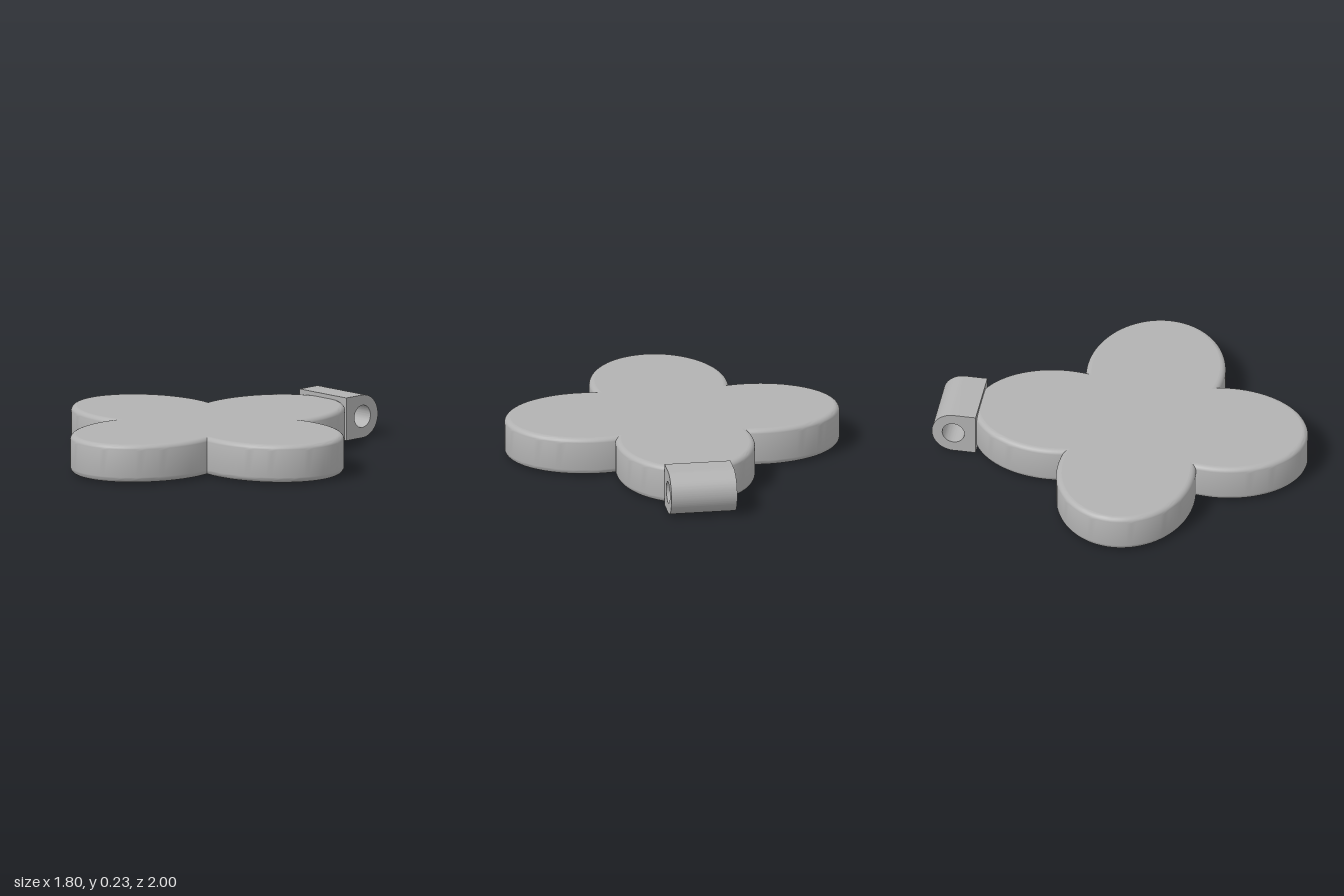
import * as THREE from 'three';
import { toCreasedNormals } from 'three/addons/utils/BufferGeometryUtils.js';

const C = 0.45, A = 0.45, B = 0.37;            // petal offset and half axes
const BOTTOM = 0.006, TOP = 0.21, FILLET = 0.03;
const CENTRE_Z = 0.1, STEPS = 48;

// Point on a petal edge, moved inwards by inset
function petalPoint(t, inset) {
  const nx = Math.cos(t) / A, ny = Math.sin(t) / B, l = Math.hypot(nx, ny);
  return new THREE.Vector2(C + A * Math.cos(t) - inset * nx / l, B * Math.sin(t) - inset * ny / l);
}

// Closed four-petal outline; neighbouring petals meet on the diagonals
function outline(inset) {
  let lo = 0, hi = 2;
  for (let i = 0; i < 40; i++) {
    const mid = (lo + hi) / 2, p = petalPoint(mid, inset);
    if (p.x > p.y) lo = mid; else hi = mid;
  }
  const pts = [];
  for (let k = 0; k < 4; k++) {
    for (let i = 0; i < STEPS; i++) {
      const p = petalPoint(lo * (2 * i / STEPS - 1), inset);
      pts.push(p.rotateAround(new THREE.Vector2(), k * Math.PI / 2));
    }
  }
  return pts;
}

// Side wall with rounded upper and lower edges
function wallGeometry() {
  const levels = [], n = 6;
  for (let i = 0; i <= n; i++) {
    const a = i / n * Math.PI / 2;
    levels.push([FILLET * (1 - Math.sin(a)), BOTTOM + FILLET * (1 - Math.cos(a))]);
  }
  for (let i = n; i >= 0; i--) levels.push([levels[i][0], TOP + BOTTOM - levels[i][1]]);
  const pos = [], index = [], count = 4 * STEPS;
  levels.forEach(([inset, y], r) => {
    outline(inset).forEach((p, i) => {
      pos.push(p.x, y, -p.y);
      if (r === 0) return;
      const j = (i + 1) % count, lo = (r - 1) * count, hi = r * count;
      index.push(lo + i, lo + j, hi + j, lo + i, hi + j, hi + i);
    });
  });
  const g = new THREE.BufferGeometry();
  g.setAttribute('position', new THREE.Float32BufferAttribute(pos, 3));
  g.setIndex(index);
  return toCreasedNormals(g, 0.6);
}

export function createModel() {
  const model = new THREE.Group();
  model.name = 'flowerPendant';
  const grey = new THREE.MeshStandardMaterial({ color: 0xb2b2b2, side: THREE.DoubleSide });
  grey.name = 'grey';
  const add = (parent, name, geometry) => {
    const mesh = new THREE.Mesh(geometry, grey);
    mesh.name = name;
    parent.add(mesh);
    return mesh;
  };

  // Four-petal body
  const body = new THREE.Group();
  body.name = 'flowerBody';
  body.position.z = CENTRE_Z;
  model.add(body);
  add(body, 'petalWall', wallGeometry());
  const cap = outline(FILLET);
  add(body, 'topFace', new THREE.ShapeGeometry(new THREE.Shape(cap)).rotateX(-Math.PI / 2)).position.y = TOP;

  // Underside with a round blind recess
  const R = 0.175, DEPTH = 0.12;
  const under = new THREE.Shape(cap);
  under.holes.push(new THREE.Path().absarc(0, 0, R, 0, Math.PI * 2, true));
  add(body, 'underside', new THREE.ShapeGeometry(under, 32).rotateX(Math.PI / 2)).position.y = BOTTOM;
  add(body, 'recessWall', new THREE.CylinderGeometry(R, R, DEPTH, 64, 1, true)).position.y = BOTTOM + DEPTH / 2;
  add(body, 'recessCeiling', new THREE.CircleGeometry(R, 64).rotateX(Math.PI / 2)).position.y = BOTTOM + DEPTH;

  // Hanging loop at the back, bored from side to side
  const r = 0.116, W = 0.355;
  const loop = new THREE.Shape();
  loop.moveTo(0.763, 0);
  loop.lineTo(1 - r, 0);
  loop.absarc(1 - r, r, r, -Math.PI / 2, Math.PI / 2, false);
  loop.lineTo(0.763, 2 * r);
  loop.closePath();
  loop.holes.push(new THREE.Path().absarc(1 - r, r, 0.06, 0, Math.PI * 2, true));
  const loopGeometry = new THREE.ExtrudeGeometry(loop, { depth: W, bevelEnabled: false, curveSegments: 32 });
  loopGeometry.translate(0, 0, -W / 2).rotateY(Math.PI / 2);
  add(model, 'hangingLoop', toCreasedNormals(loopGeometry, 0.6));

  return model;
}
